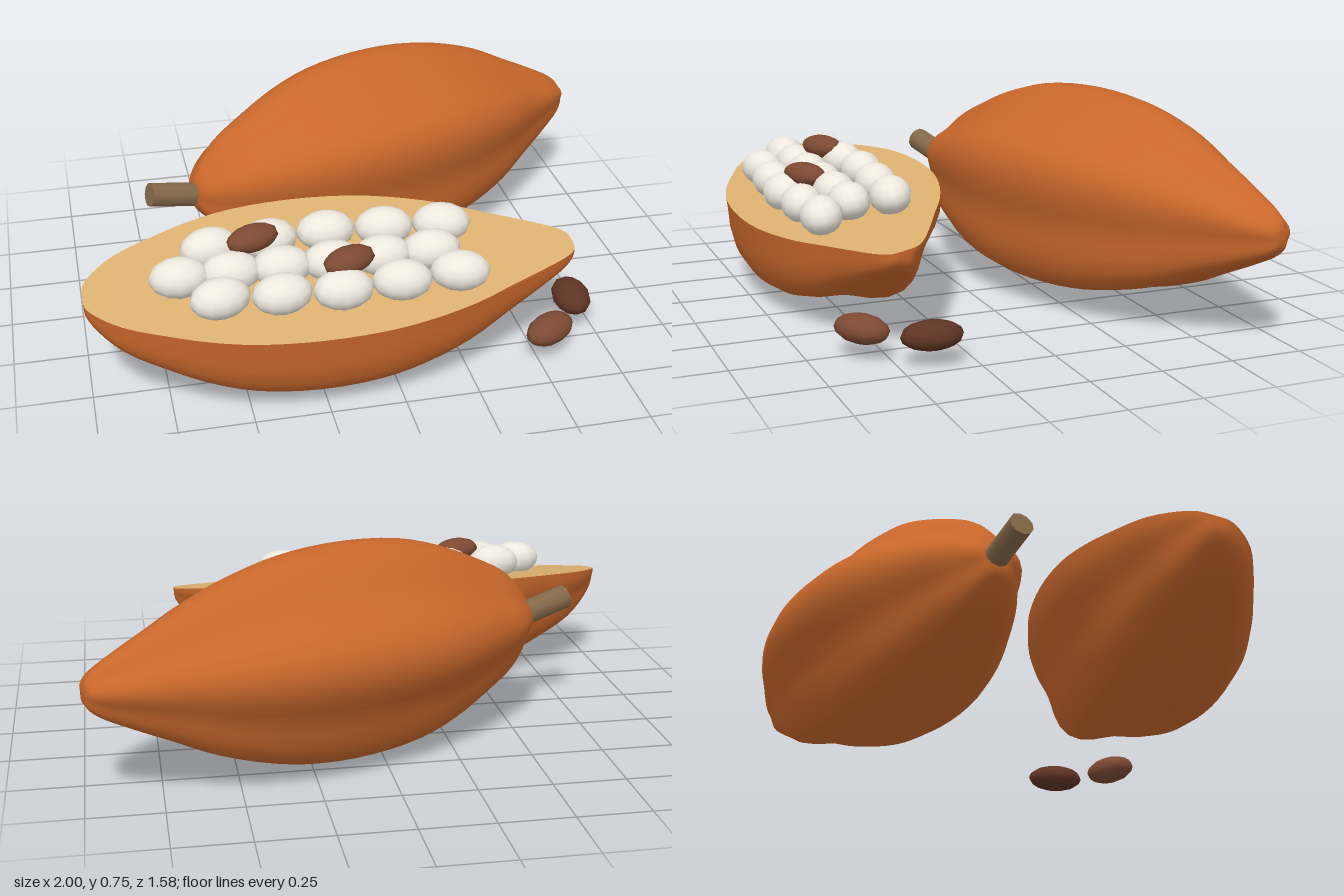
import * as THREE from 'three';
import { mergeVertices } from 'three/addons/utils/BufferGeometryUtils.js';

const mat = (color, side = THREE.FrontSide) => new THREE.MeshStandardMaterial({ color, side });

// Mean radius of the pod along its axis: [position, radius]
const PROFILE = [
  [-0.825, 0], [-0.822, 0.05], [-0.79, 0.1], [-0.71, 0.172], [-0.58, 0.238], [-0.45, 0.292],
  [-0.3, 0.332], [-0.1, 0.35], [0.1, 0.341], [0.25, 0.313], [0.42, 0.258], [0.56, 0.19],
  [0.7, 0.122], [0.79, 0.072], [0.82, 0.04], [0.825, 0],
];
const LOBE = 0.08;
const profile = new THREE.CatmullRomCurve3(
  PROFILE.map(([x, r]) => new THREE.Vector3(x, r, 0)), false, 'centripetal').getPoints(45);

// Point on the five-ridged skin
function skinPoint(p, angle) {
  const r = Math.max(p.y, 0) * (1 - LOBE * Math.cos(5 * angle));
  return [p.x, r * Math.sin(angle), r * Math.cos(angle)];
}

// Skin swept between two angles around the x axis
function skin(from, to, sides) {
  const positions = [], index = [], row = sides + 1;
  profile.forEach((p, i) => {
    for (let j = 0; j <= sides; j++) {
      positions.push(...skinPoint(p, from + (to - from) * j / sides));
      if (i < profile.length - 1 && j < sides) {
        const a = i * row + j, b = a + row;
        index.push(a, b, a + 1, b, b + 1, a + 1);
      }
    }
  });
  let g = new THREE.BufferGeometry();
  g.setAttribute('position', new THREE.Float32BufferAttribute(positions, 3));
  g.setIndex(index);
  g = mergeVertices(g, 1e-5);
  g.computeVertexNormals();
  return g;
}

export function createModel() {
  const model = new THREE.Group();
  const rind = mat(0xc8672b);
  const rindOpen = mat(0xc8672b, THREE.DoubleSide);
  const flesh = mat(0xdcb070, THREE.DoubleSide);
  const pulp = mat(0xeee9df);
  const beanBrown = mat(0x7d4a33);
  const beanDark = mat(0x5f3425);
  const ball = new THREE.SphereGeometry(1, 12, 8);

  const add = (parent, name, geometry, material) => {
    const m = new THREE.Mesh(geometry, material);
    m.name = name;
    parent.add(m);
    return m;
  };
  const seed = (parent, name, material, pos, size, yaw = 0) => {
    const m = add(parent, name, ball, material);
    m.position.set(...pos);
    m.scale.set(...size);
    m.rotation.y = yaw;
    return m;
  };

  // Whole pod, lying at the back
  const whole = add(model, 'wholePod', skin(0, Math.PI * 2, 40), rind);
  whole.position.set(0.21, 0.387, -0.395);
  whole.rotation.set(0.17, 0.346, 0, 'YXZ');
  whole.scale.set(1, 0.985, 0.985);

  // Stem beside the blunt end
  const from = new THREE.Vector3(-0.572, 0.39, -0.117), to = new THREE.Vector3(-0.73, 0.43, -0.072);
  const stem = add(model, 'stem',
    new THREE.CylinderGeometry(0.043, 0.043, from.distanceTo(to), 10), mat(0x84694a));
  stem.position.lerpVectors(from, to, 0.5);
  stem.quaternion.setFromUnitVectors(new THREE.Vector3(0, 1, 0), to.clone().sub(from).normalize());

  // Half pod: its cut plane is local y = 0
  const half = new THREE.Group();
  half.name = 'halfPod';
  half.position.set(-0.178, 0.374, 0.472);
  half.rotation.x = 0.197;
  model.add(half);
  add(half, 'halfRind', skin(Math.PI, Math.PI * 2, 20), rindOpen).scale.y = 1.06;

  // Flat cut face
  const outline = [
    ...profile.map((p) => skinPoint(p, 0)),
    ...profile.slice(1, -1).reverse().map((p) => skinPoint(p, Math.PI)),
  ].map(([x, , z]) => new THREE.Vector2(x, -z));
  const face = add(half, 'cutFace', new THREE.ShapeGeometry(new THREE.Shape(outline)), flesh);
  face.rotation.x = -Math.PI / 2;

  // Three rows of pulp-covered seeds: row z, first x, spacing, count
  [[-0.13, -0.4, 0.197, 5], [0.01, -0.515, 0.167, 6], [0.14, -0.4, 0.197, 5]].forEach(([z, x0, step, n], row) => {
    for (let i = 0; i < n; i++) {
      const bow = row === 1 ? 0 : (Math.abs(i - 2) - 1) * 0.012 * (row === 0 ? 1 : -1);
      seed(half, 'pulpSeed', pulp, [x0 + i * step, 0.05, z + bow], [0.1, 0.065, 0.072],
        row === 1 ? 0 : (i - 2) * -0.08);
    }
  });

  // Loose beans: on the seeds and on the ground
  const onTop = [0.095, 0.042, 0.057];
  seed(model, 'topBean', beanBrown, [-0.44, 0.49, 0.41], onTop, 0.42);
  seed(model, 'topBean', beanBrown, [-0.15, 0.457, 0.56], onTop, 0.42);
  seed(model, 'groundBean', beanBrown, [0.545, 0.105, 0.58], [0.103, 0.048, 0.062], 0.6);
  seed(model, 'groundBean', beanDark, [0.687, 0.105, 0.395], [0.104, 0.048, 0.066], 1.5);

  return model;
}
